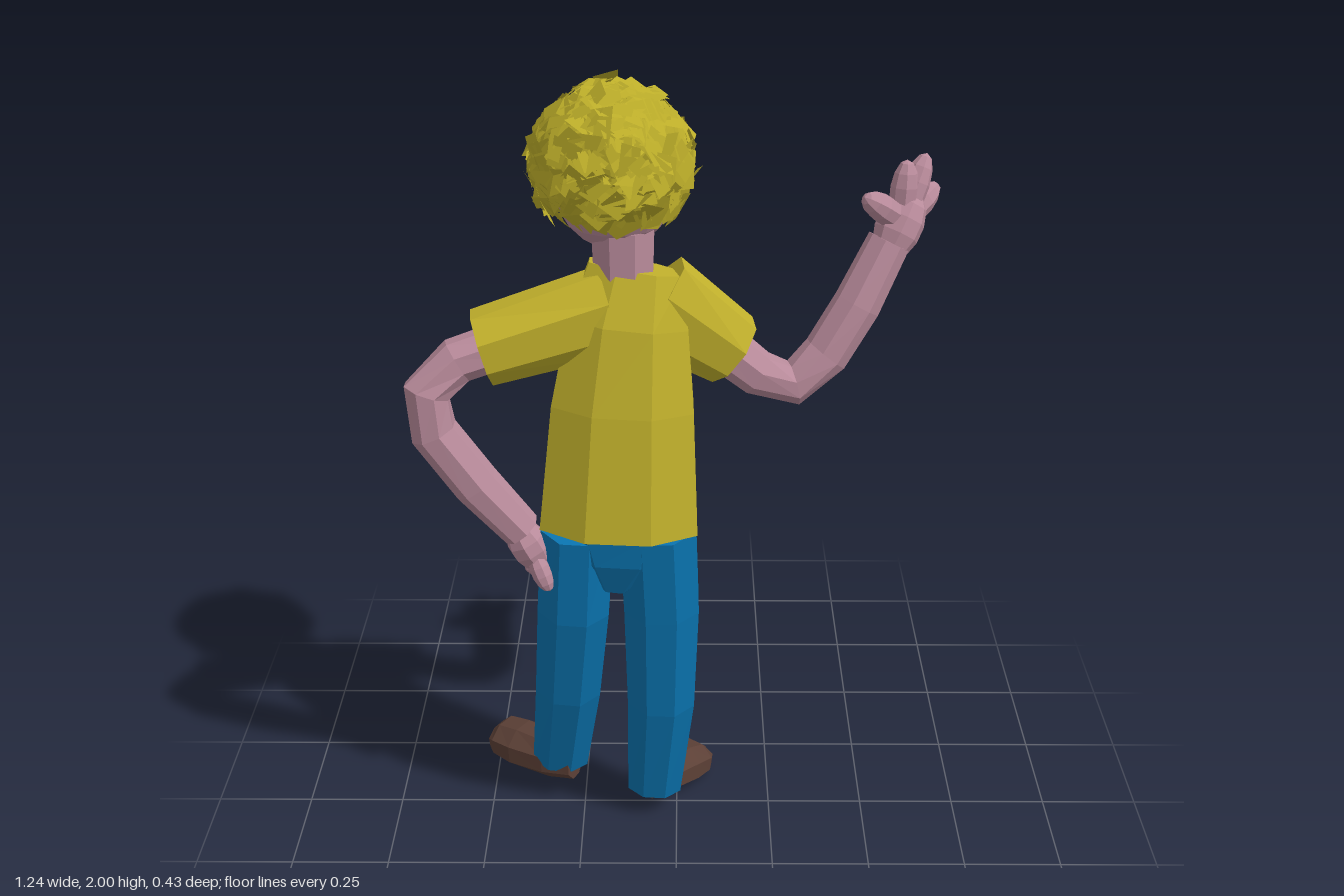
import * as THREE from 'three';

const V = (a) => new THREE.Vector3(a[0], a[1], a[2]);
const paint = (color, side = THREE.FrontSide) =>
  new THREE.MeshStandardMaterial({ color, flatShading: true, side });

const skin = paint(0xb98b9b);
const shirt = paint(0xc2b12c);
const hairMat = paint(0xbcad29, THREE.DoubleSide);
const denim = paint(0x0a74b0);
const leather = paint(0x5c4036);
const white = paint(0xc8c8c8);
const dark = paint(0x222222);

// Closed low-poly tube through sections [x, y, z, ru, rv]; rings follow the path.
function sweep(sections, sides = 8, ref = [0, 0, 1]) {
  const pos = [], index = [];
  const pts = sections.map(V), n = pts.length, up = V(ref);
  const fit = 1 / Math.cos(Math.PI / sides);
  sections.forEach(([, , , ru, rv = ru], i) => {
    const t = pts[Math.min(i + 1, n - 1)].clone().sub(pts[Math.max(i - 1, 0)]).normalize();
    const u = up.clone().cross(t).normalize();
    const v = t.clone().cross(u);
    for (let j = 0; j < sides; j++) {
      const a = ((j + 0.5) / sides) * Math.PI * 2;
      const p = pts[i].clone()
        .addScaledVector(u, Math.cos(a) * ru * fit)
        .addScaledVector(v, Math.sin(a) * rv * fit);
      pos.push(p.x, p.y, p.z);
    }
  });
  const first = n * sides, last = first + 1;
  pos.push(...pts[0].toArray(), ...pts[n - 1].toArray());
  for (let j = 0; j < sides; j++) {
    const k = (j + 1) % sides;
    for (let i = 0; i < n - 1; i++) {
      const a = i * sides + j, b = i * sides + k;
      index.push(a, b, b + sides, a, b + sides, a + sides);
    }
    index.push(first, k, j, last, (n - 1) * sides + j, (n - 1) * sides + k);
  }
  const g = new THREE.BufferGeometry();
  g.setAttribute('position', new THREE.Float32BufferAttribute(pos, 3));
  g.setIndex(index);
  const flat = g.toNonIndexed();
  flat.computeVertexNormals();
  return flat;
}

// Ellipsoid stretched between two points, for fingers, palms and the nose.
function blob(a, b, r) {
  const p = V(a), q = V(b), d = q.clone().sub(p);
  const g = new THREE.SphereGeometry(1, 8, 7);
  g.scale(r, d.length() / 2 + r * 0.5, r);
  g.applyQuaternion(new THREE.Quaternion().setFromUnitVectors(V([0, 1, 0]), d.normalize()));
  const c = p.add(q).multiplyScalar(0.5);
  return g.translate(c.x, c.y, c.z);
}

// Small seeded generator
function seeded(s) {
  return () => (s = (s * 16807) % 2147483647) / 2147483647;
}

// Overlapping jagged tufts scattered over a cap that hangs lower at the sides
function tufts(count, radius, maxTheta) {
  const rnd = seeded(77), pos = [];
  for (let i = 0; i < count; i++) {
    const a = i * 2.39996;
    const theta = Math.acos(1 - ((i + 0.5) / count) * (1 - Math.cos(maxTheta))) * (1 + 0.14 * Math.cos(a) ** 4);
    const n = new THREE.Vector3().setFromSphericalCoords(1, theta, Math.PI / 2 - a);
    const c = n.clone().multiplyScalar(radius * (0.94 + 0.08 * rnd()));
    n.add(V([rnd() - 0.5, rnd() - 0.5, rnd() - 0.5]).multiplyScalar(0.7)).normalize();
    const u = V([rnd() - 0.5, rnd() - 0.5, rnd() - 0.5]).cross(n).normalize();
    const w = n.clone().cross(u);
    const corner = (x, z) => c.clone().addScaledVector(u, x).addScaledVector(w, z).toArray();
    const L = 0.028 + 0.026 * rnd(), W = 0.017 + 0.015 * rnd();
    const [A, B, C, D] = [corner(-L, -W), corner(L, -W * 0.6), corner(L * 0.7, W), corner(-L * 0.8, W * 0.8)];
    pos.push(...A, ...B, ...C, ...A, ...C, ...D);
  }
  const g = new THREE.BufferGeometry();
  g.setAttribute('position', new THREE.Float32BufferAttribute(pos, 3));
  g.computeVertexNormals();
  return g;
}

export function createModel() {
  const model = new THREE.Group();
  const add = (name, geometry, material, parent = model) => {
    const m = new THREE.Mesh(geometry, material);
    m.name = name;
    parent.add(m);
    return m;
  };
  const group = (name) => {
    const g = new THREE.Group();
    g.name = name;
    model.add(g);
    return g;
  };

  // Shirt
  const top = group('shirt');
  add('shirtBody', sweep([
    [-0.138, 0.94, 0.103, 0.188, 0.113], [-0.125, 1.25, 0.08, 0.165, 0.1],
    [-0.11, 1.45, 0.055, 0.137, 0.088], [-0.09, 1.575, 0.04, 0.108, 0.055],
  ]), shirt, top);
  add('rightSleeve', sweep([[-0.15, 1.475, 0.05, 0.1, 0.075], [-0.445, 1.398, 0.09, 0.084, 0.08]]), shirt, top);
  add('leftSleeve', sweep([[-0.055, 1.49, 0.03, 0.115, 0.07], [0.13, 1.352, -0.005, 0.084, 0.075]]), shirt, top);

  // Neck with the open collar on the face side
  add('neck', sweep([[-0.12, 1.5, 0.035, 0.065], [-0.12, 1.67, 0.03, 0.07]]), skin);
  add('openCollar', sweep([[-0.12, 1.59, 0, 0.062, 0.035], [-0.12, 1.49, -0.034, 0.008, 0.012]], 6), skin);

  // Trousers
  const trousers = group('trousers');
  add('pelvis', sweep([
    [-0.14, 0.95, 0.1, 0.17, 0.095], [-0.14, 0.87, 0.1, 0.13, 0.085], [-0.15, 0.78, 0.09, 0.05, 0.06],
  ]), denim, trousers);
  add('rightLeg', sweep([
    [-0.24, 0.94, 0.1, 0.085, 0.093], [-0.255, 0.7, 0.085, 0.088, 0.085],
    [-0.28, 0.42, 0.028, 0.083, 0.08], [-0.315, 0.125, -0.045, 0.073, 0.057],
  ]), denim, trousers);
  add('leftLeg', sweep([
    [-0.045, 0.94, 0.1, 0.092, 0.093], [-0.037, 0.7, 0.085, 0.092, 0.085],
    [-0.04, 0.4, 0.06, 0.085, 0.078], [-0.06, 0.078, 0.018, 0.07, 0.053],
  ]), denim, trousers);

  // Shoes, toes turned outward
  const up = [0, 1, 0];
  add('rightShoe', sweep([
    [-0.275, 0.125, -0.01, 0.035, 0.045], [-0.34, 0.122, -0.045, 0.05, 0.057],
    [-0.42, 0.117, -0.105, 0.066, 0.06], [-0.472, 0.115, -0.142, 0.062, 0.05], [-0.492, 0.112, -0.155, 0.048, 0.03],
  ], 8, up), leather);
  add('leftShoe', sweep([
    [-0.075, 0.08, 0.025, 0.035, 0.04], [-0.04, 0.073, -0.025, 0.05, 0.052],
    [0.01, 0.058, -0.1, 0.066, 0.056], [0.045, 0.047, -0.142, 0.062, 0.045], [0.057, 0.042, -0.162, 0.048, 0.028],
  ], 8, up), leather);

  // Raised arm, waving with an open hand
  const left = group('leftArm');
  add('leftForearm', sweep([
    [0.08, 1.385, 0, 0.055], [0.19, 1.3, 0.012, 0.05], [0.275, 1.27, 0.002, 0.05],
    [0.35, 1.335, -0.02, 0.052], [0.42, 1.45, -0.045, 0.052], [0.49, 1.59, -0.085, 0.047],
  ]), skin, left);
  add('leftPalm', blob([0.49, 1.57, -0.085], [0.54, 1.67, -0.13], 0.056), skin, left);
  [[0.435, 1.7, -0.055], [0.525, 1.755, -0.125], [0.57, 1.76, -0.16], [0.6, 1.68, -0.195]].forEach((tip, i) =>
    add('leftFinger' + (i + 1), blob([0.52, 1.63, -0.115], tip, 0.034), skin, left));

  // Bent arm with the hand on the hip
  const right = group('rightArm');
  add('rightForearm', sweep([
    [-0.38, 1.41, 0.085, 0.05], [-0.5, 1.375, 0.11, 0.05], [-0.57, 1.31, 0.138, 0.052],
    [-0.56, 1.21, 0.143, 0.052], [-0.47, 1.07, 0.138, 0.052], [-0.37, 0.94, 0.13, 0.045],
  ]), skin, right);
  add('rightPalm', blob([-0.375, 0.94, 0.13], [-0.335, 0.86, 0.13], 0.05), skin, right);
  [0.9, 0.865, 0.835].forEach((y, i) =>
    add('rightFinger' + (i + 1), blob([-0.35, y, 0.13], [-0.335, y - 0.02, 0.05], 0.028), skin, right));
  add('rightThumb', blob([-0.34, 0.88, 0.15], [-0.31, 0.805, 0.17], 0.026), skin, right);

  // Head, narrowing to the chin
  const head = group('head');
  const skull = new THREE.SphereGeometry(1, 14, 10);
  const p = skull.attributes.position;
  for (let i = 0; i < p.count; i++) {
    const k = 1 - 0.12 * Math.max(0, -p.getY(i));
    p.setXYZ(i, p.getX(i) * 0.15 * k, p.getY(i) * 0.16, p.getZ(i) * 0.153 * k);
  }
  add('skull', skull, skin, head).position.set(-0.138, 1.765, -0.008);
  add('nose', blob([-0.137, 1.745, -0.145], [-0.137, 1.725, -0.172], 0.02), skin, head);

  // Eyes with heavy lids
  for (const s of [-1, 1]) {
    const x = -0.137 + s * 0.046;
    add('eye', new THREE.SphereGeometry(0.034, 10, 8), white, head).position.set(x, 1.782, -0.15);
    add('pupil', new THREE.SphereGeometry(0.011, 8, 6), dark, head).position.set(x, 1.776, -0.178);
    const lid = add('eyelid', new THREE.SphereGeometry(0.037, 10, 4, 0, Math.PI * 2, 0, Math.PI * 0.42), skin, head);
    lid.position.set(x, 1.782, -0.147);
  }

  // Grin wrapped around the face
  const grin = [];
  for (let i = 0; i <= 8; i++) {
    const t = i / 4 - 1, dx = 0.07 * t, y = 1.682 + 0.022 * t * t;
    const z = -0.008 - 0.14 * Math.sqrt(1 - (dx / 0.142) ** 2 - ((y - 1.765) / 0.16) ** 2);
    grin.push([-0.137 + dx, y, z, 0.004 + 0.02 * (1 - t * t), 0.012]);
  }
  add('grin', sweep(grin, 6), white, head);

  // Shaggy hair: a cap tipped toward the back, covered in tufts
  const hair = group('hair');
  hair.position.set(-0.145, 1.805, 0.004);
  hair.rotation.x = 0.32;
  const cap = new THREE.SphereGeometry(0.168, 14, 9, 0, Math.PI * 2, 0, 1.78).scale(1, 1, 0.96);
  add('hairCap', cap, hairMat, hair);
  add('hairTufts', tufts(430, 0.178, 1.88).scale(1, 0.98, 0.95), hairMat, hair);
  return model;
}
